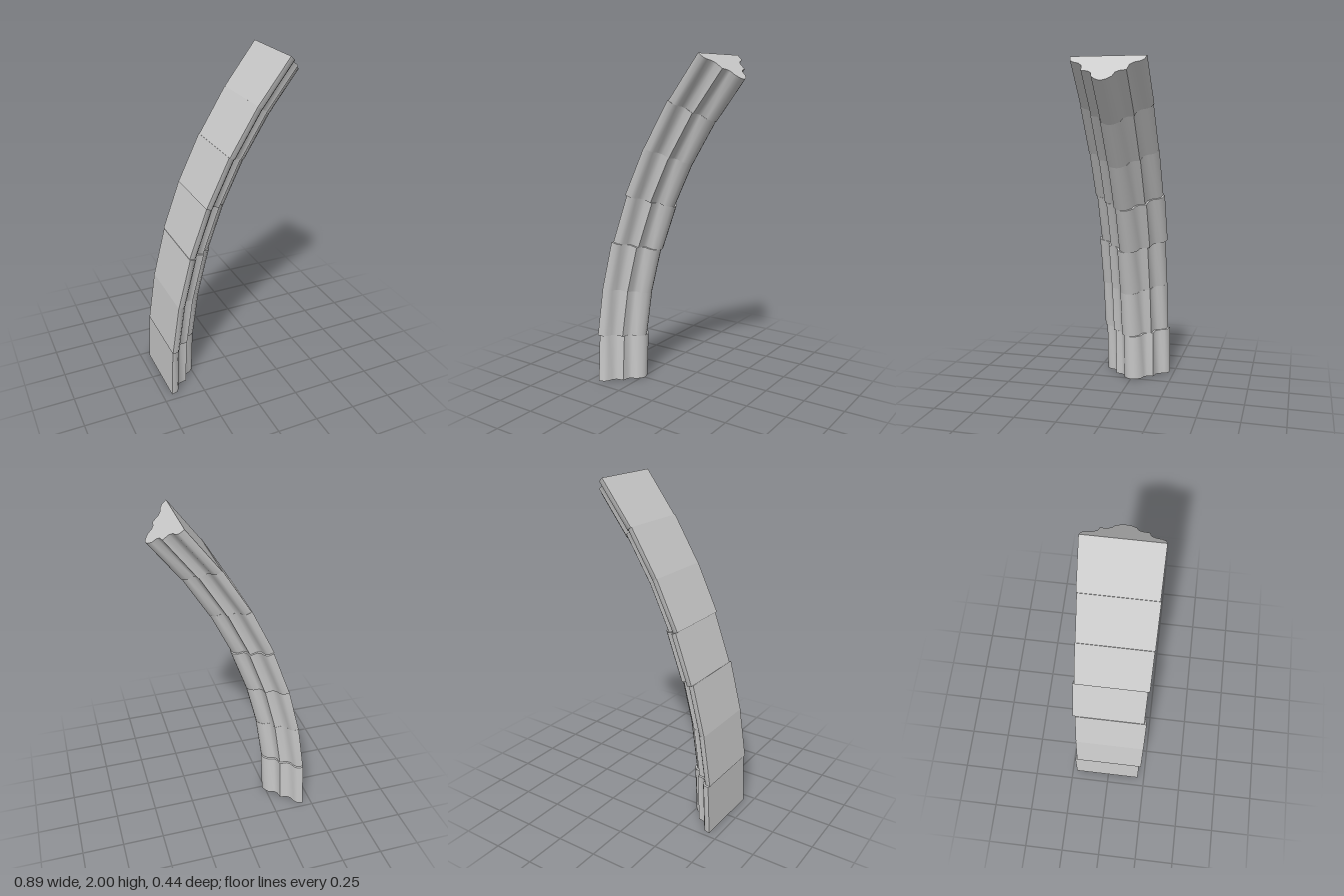
import * as THREE from 'three';
import { toCreasedNormals } from 'three/addons/utils/BufferGeometryUtils.js';

// Curved vault rib: seven moulded stones set along a circular arc
const RADIUS = 3.11, SWEEP = THREE.MathUtils.degToRad(40), COUNT = 7;
const CENTRE_X = RADIUS - 0.445;

// Half of the moulding: [depth from the flat back, half width]
const HALF = [
  [0, 0.213], [0.035, 0.205], [0.051, 0.184], [0.06, 0.154], [0.08, 0.132], [0.124, 0.124],
  [0.131, 0.085], [0.145, 0.066], [0.178, 0.056], [0.2, 0.03], [0.208, 0.01],
];

// Small misalignment of each stone: [depth, z]
const SHIFT = [
  [0, -0.008], [-0.004, 0.005], [-0.004, 0.006], [-0.001, -0.008],
  [-0.006, 0.002], [-0.003, 0.004], [0, 0],
];

function mouldingShape() {
  const mirrored = HALF.map(([d, w]) => [d, -w]);
  const points = [...mirrored, ...HALF.slice().reverse()];
  return new THREE.Shape(points.map(([d, w]) => new THREE.Vector2(d, w)));
}

// Extrude the moulding, then fan its two ends onto the radial joints
function stoneGeometry(index) {
  const geometry = new THREE.ExtrudeGeometry(mouldingShape(), { depth: 1, steps: 1, bevelEnabled: false });
  const position = geometry.attributes.position;
  const [depthShift, zShift] = SHIFT[index];
  for (let i = 0; i < position.count; i++) {
    const r = RADIUS - position.getX(i) - depthShift;
    const angle = (SWEEP * (index + Math.round(position.getZ(i)))) / COUNT;
    position.setXYZ(i, CENTRE_X - r * Math.cos(angle), r * Math.sin(angle), zShift - position.getY(i));
  }
  return toCreasedNormals(geometry, THREE.MathUtils.degToRad(62));
}

export function createModel() {
  const group = new THREE.Group();
  group.name = 'vaultRib';
  const material = new THREE.MeshStandardMaterial({ color: 0xcccccc });
  for (let i = 0; i < COUNT; i++) {
    const stone = new THREE.Mesh(stoneGeometry(i), material);
    stone.name = `ribStone${i + 1}`;
    group.add(stone);
  }
  return group;
}
